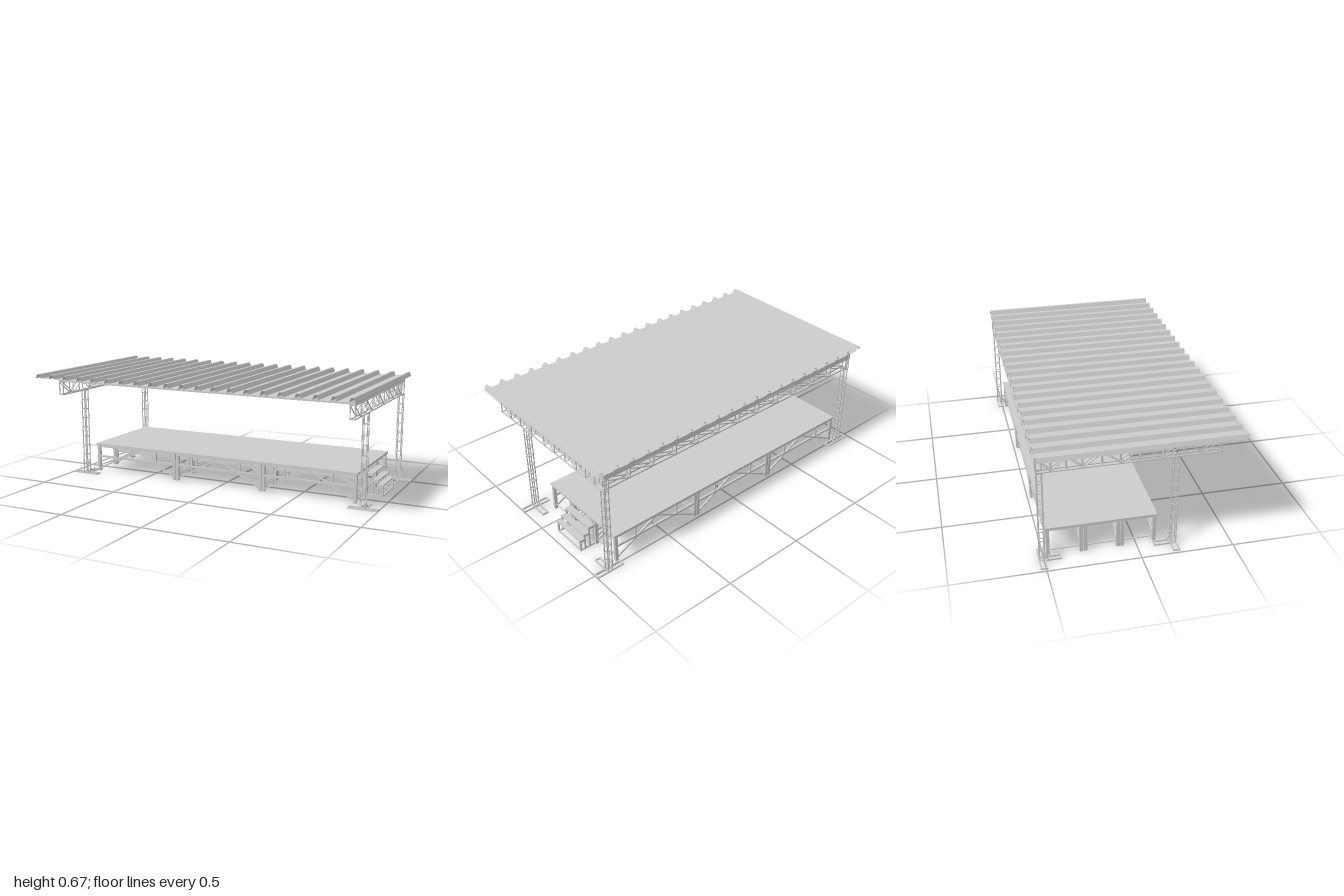
import * as THREE from 'three';
import { mergeGeometries } from 'three/addons/utils/BufferGeometryUtils.js';

const steel = new THREE.MeshStandardMaterial({ color: 0xcccccc, flatShading: true });
const sheet = new THREE.MeshStandardMaterial({ color: 0xcccccc, flatShading: true, side: THREE.DoubleSide });

// Square bar between two points
function bar(a, b, t = 0.006) {
  const p = new THREE.Vector3(...a), q = new THREE.Vector3(...b);
  const g = new THREE.BoxGeometry(t, t, p.distanceTo(q));
  g.lookAt(q.clone().sub(p));
  const m = p.add(q).multiplyScalar(0.5);
  return g.translate(m.x, m.y, m.z);
}

// Box given by its limits
function box(x0, x1, y0, y1, z0, z1) {
  return new THREE.BoxGeometry(x1 - x0, y1 - y0, z1 - z0)
    .translate((x0 + x1) / 2, (y0 + y1) / 2, (z0 + z1) / 2);
}

function part(name, geometries, material = steel) {
  const mesh = new THREE.Mesh(mergeGeometries(geometries), material);
  mesh.name = name;
  return mesh;
}

// Corrugated sheet: one trapezoid profile swept along z
function roofSheet() {
  const x0 = -1, x1 = 0.965, low = 0.644, high = 0.668, pts = [[x0, low]];
  for (let i = 0; i <= 20; i++) {
    const c = -0.982 + i * 0.0965;
    for (const [dx, y] of [[-0.018, low], [-0.008, high], [0.008, high], [0.018, low]]) {
      pts.push([Math.min(x1, Math.max(x0, c + dx)), y]);
    }
  }
  const pos = [], index = [];
  pts.forEach(([x, y], i) => {
    pos.push(x, y, -0.535, x, y, 0.54);
    const k = i * 2;
    if (i) index.push(k - 2, k - 1, k, k, k - 1, k + 1);
  });
  const g = new THREE.BufferGeometry();
  g.setAttribute('position', new THREE.Float32BufferAttribute(pos, 3));
  g.setIndex(index);
  g.computeVertexNormals();
  return g;
}

// Box truss running front to back, with zigzag diagonals
function sideTruss(x0, x1) {
  const zs = [0.43, 0.333, 0.235, 0.125, 0.005, -0.095, -0.19, -0.29, -0.372, -0.45, -0.527];
  const lo = 0.537, hi = 0.611, out = [];
  for (const x of [x0 + 0.003, x1 - 0.003]) {
    for (const y of [lo, hi]) out.push(bar([x, y, 0.433], [x, y, -0.53]));
    zs.forEach((z, i) => {
      out.push(bar([x, lo, z], [x, hi, z], 0.005));
      if (i) out.push(bar([x, i % 2 ? hi : lo, zs[i - 1]], [x, i % 2 ? lo : hi, z], 0.004));
    });
  }
  for (const z of zs) for (const y of [lo, hi]) out.push(bar([x0, y, z], [x1, y, z], 0.004));
  return out;
}

// Box truss along the back, all diagonals leaning the same way
function backTruss() {
  const lo = 0.549, hi = 0.611, n = 12, x0 = -0.9, step = 1.815 / n, out = [];
  for (const z of [-0.495, -0.525]) {
    for (const y of [lo, hi]) out.push(bar([x0, y, z], [x0 + n * step, y, z], 0.008));
    for (let i = 0; i <= n; i++) {
      const x = x0 + i * step;
      out.push(bar([x, lo, z], [x, hi, z], 0.006));
      if (i < n) out.push(bar([x, lo, z], [x + step, hi - 0.01, z], 0.006));
    }
  }
  for (let i = 0; i <= n; i++) for (const y of [lo, hi]) {
    out.push(bar([x0 + i * step, y, -0.495], [x0 + i * step, y, -0.525], 0.005));
  }
  return out;
}

// Lattice column with four uprights and rungs
function column(x, z) {
  const r = 0.0135, out = [];
  const ring = [[-r, -r], [r, -r], [r, r], [-r, r]];
  ring.forEach(([dx, dz]) => out.push(bar([x + dx, 0.005, z + dz], [x + dx, 0.537, z + dz], 0.005)));
  for (let i = 0; i < 10; i++) {
    const y = 0.008 + i * 0.0582;
    ring.forEach(([dx, dz], k) => {
      const [ex, ez] = ring[(k + 1) % 4];
      out.push(bar([x + dx, y, z + dz], [x + ex, y, z + ez], 0.004));
    });
  }
  return out;
}

// Ground frame: long pair of rails across, short pair pointing inward
function foot(x, z, inward) {
  const h = 0.008, y = 0.004, w = 0.015, out = [];
  for (const s of [-1, 1]) {
    out.push(bar([x - 0.085, y, z + s * w], [x + 0.085, y, z + s * w], h));
    out.push(bar([x + s * 0.081, y, z - w], [x + s * 0.081, y, z + w], h));
    out.push(bar([x + s * w, y, z], [x + s * w, y, z + inward * 0.105], h));
    out.push(bar([x + s * w, 0.03, z + inward * 0.013], [x + s * w, 0.006, z + inward * 0.035], 0.004));
  }
  out.push(bar([x - w, y, z + inward * 0.101], [x + w, y, z + inward * 0.101], h));
  return out;
}

// One stage module: legs, long braced trusses, end rails and joists
function stageModule(x0, x1, z0, z1) {
  const t = 0.018, top = 0.165, mid = 0.094, out = [], c = (x0 + x1) / 2, q = (x1 - x0) / 4;
  for (const z of [z0 + t / 2, z1 - t / 2]) {
    for (const x of [x0 + t / 2, x1 - t / 2]) out.push(bar([x, 0, z], [x, top, z], t));
    out.push(bar([x0, top - 0.005, z], [x1, top - 0.005, z], 0.012));
    out.push(bar([x0, mid, z], [x1, mid, z], 0.012));
    for (const s of [-1, 1]) {
      out.push(bar([c + s * (2 * q - t), 0.018, z], [c, top - 0.006, z], 0.009));
      out.push(bar([c + s * q, mid, z], [c + s * q, top, z], 0.008));
    }
  }
  for (const x of [x0 + t / 2, x1 - t / 2]) {
    out.push(bar([x, 0.033, z0], [x, 0.033, z1], 0.005));
    out.push(bar([x, top - 0.005, z0], [x, top - 0.005, z1], 0.01));
  }
  for (let i = 1; i < 4; i++) {
    const z = z0 + (z1 - z0) * i / 4;
    out.push(bar([x0, top - 0.004, z], [x1, top - 0.004, z], 0.01));
  }
  return out;
}

// Three open treads on a post frame
function stairs() {
  const z0 = -0.298, z1 = -0.078, out = [];
  [[0.848, 0.887, 0.135], [0.882, 0.918, 0.1], [0.914, 0.946, 0.073]].forEach(([a, b, y]) => {
    out.push(box(a, b, y - 0.007, y, z0, z1));
    for (const z of [z0 + 0.005, z1 - 0.005]) {
      out.push(bar([b - 0.005, 0, z], [b - 0.005, y, z], 0.009));
      out.push(bar([a, y - 0.012, z], [b, y - 0.012, z], 0.009));
    }
  });
  for (const z of [z0 + 0.005, z1 - 0.005]) out.push(bar([0.85, 0.005, z], [0.946, 0.005, z], 0.009));
  out.push(bar([0.941, 0.005, z0], [0.941, 0.005, z1], 0.008));
  return out;
}

export function createModel() {
  const model = new THREE.Group();
  model.add(part('roofSheet', [roofSheet()], sheet));

  // Roof frame: purlins across and edge beams at both sides
  const purlins = [];
  for (let i = 0; i < 6; i++) {
    const z = 0.422 - i * 0.1885;
    purlins.push(box(-0.918, 0.93, 0.615, 0.642, z - 0.008, z + 0.008));
  }
  for (const x of [-0.91, 0.922]) purlins.push(box(x - 0.008, x + 0.008, 0.615, 0.641, -0.53, 0.43));
  model.add(part('purlins', purlins));
  model.add(part('backTruss', backTruss()));

  // Side trusses, columns and feet
  for (const [side, x] of [['right', -0.9], ['left', 0.915]]) {
    model.add(part(side + 'RoofTruss', sideTruss(x - 0.016, x + 0.016)));
    for (const [end, z, inward] of [['Front', 0.195, -1], ['Back', -0.51, 1]]) {
      model.add(part(side + end + 'Column', column(x, z)));
      model.add(part(side + end + 'Foot', foot(x, z, inward)));
    }
  }

  // Stage platform of three by three modules
  const xs = [-0.88, -0.305, 0.27, 0.85], zs = [-0.485, -0.285, -0.087, 0.11];
  const frame = [];
  for (let i = 0; i < 3; i++) for (let k = 0; k < 3; k++) {
    frame.push(...stageModule(xs[i] + 0.002, xs[i + 1] - 0.002, zs[k] + 0.002, zs[k + 1] - 0.002));
  }
  model.add(part('stageFrame', frame));
  model.add(part('stageDeck', [box(-0.883, 0.854, 0.166, 0.178, -0.487, 0.112)]));
  model.add(part('stairs', stairs()));
  return model;
}
